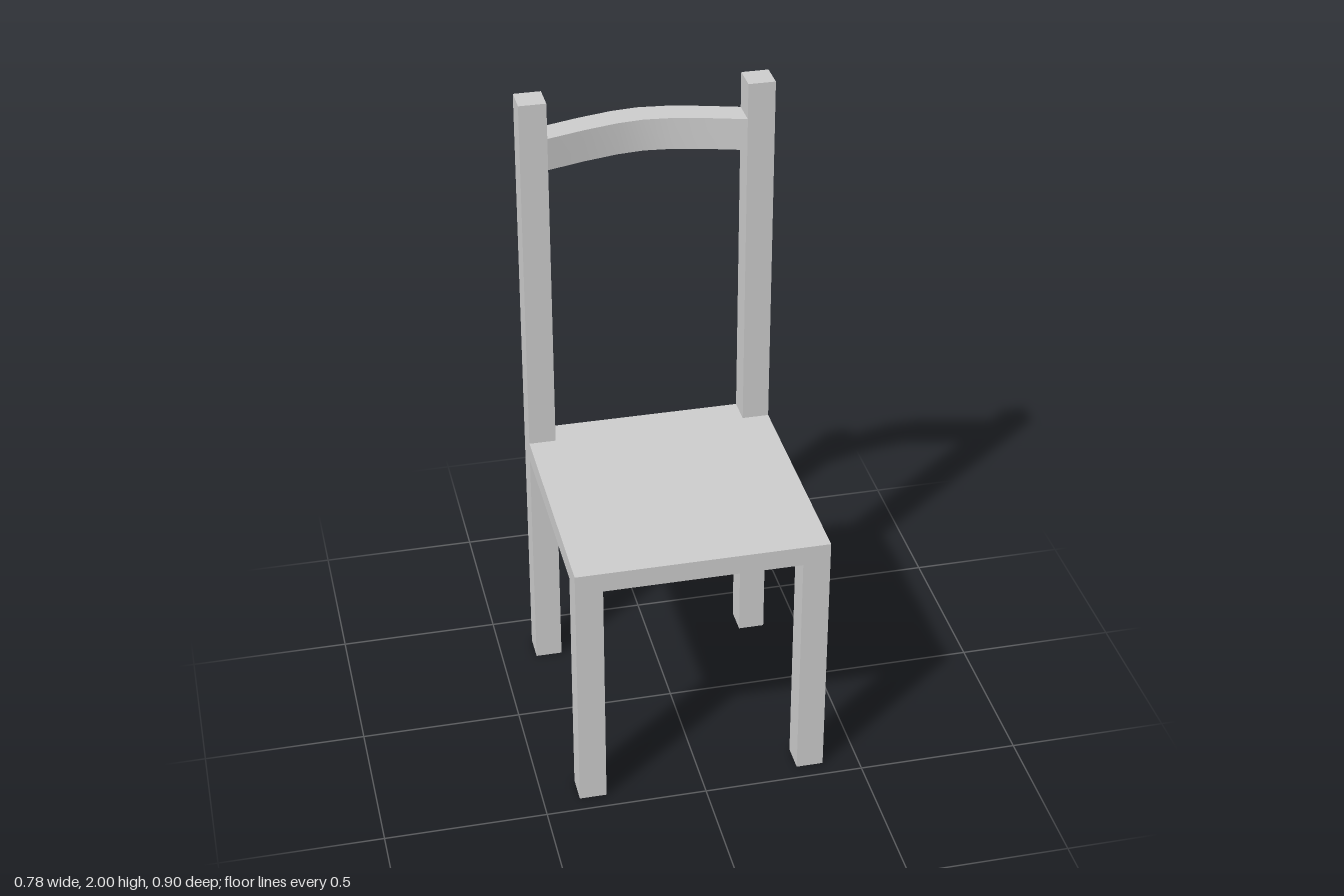
import * as THREE from 'three';
import { toCreasedNormals } from 'three/addons/utils/BufferGeometryUtils.js';

const material = new THREE.MeshStandardMaterial({ color: 0xcccccc });

// Box given by its lower and upper corners
function box(name, [x0, y0, z0], [x1, y1, z1]) {
  const geometry = new THREE.BoxGeometry(x1 - x0, y1 - y0, z1 - z0);
  geometry.translate((x0 + x1) / 2, (y0 + y1) / 2, (z0 + z1) / 2);
  const mesh = new THREE.Mesh(geometry, material);
  mesh.name = name;
  return mesh;
}

// Plan outline of [x, z] points raised from y0 to y1
function slab(name, outline, y0, y1) {
  const shape = new THREE.Shape(outline.map(([x, z]) => new THREE.Vector2(x, -z)));
  const geometry = new THREE.ExtrudeGeometry(shape, { depth: y1 - y0, bevelEnabled: false });
  geometry.rotateX(-Math.PI / 2).translate(0, y0, 0);
  const mesh = new THREE.Mesh(toCreasedNormals(geometry, 0.5), material);
  mesh.name = name;
  return mesh;
}

export function createModel() {
  const chair = new THREE.Group();
  chair.name = 'chair';

  const outer = 0.388, inner = 0.304; // leg sides in x
  const front = 0.449, back = -0.383; // seat ends in z
  const thick = 0.088; // leg and rail depth
  const seatBottom = 0.772, seatTop = 0.835;

  // Legs; the back pair runs up as posts
  for (const [side, x0, x1] of [['Left', inner, outer], ['Right', -outer, -inner]]) {
    chair.add(box('frontLeg' + side, [x0, 0, front - thick], [x1, seatBottom, front]));
    chair.add(box('backPost' + side, [x0, 0, back], [x1, 2, back + thick]));
  }

  // Seat, notched around the back posts
  chair.add(slab('seat', [
    [-outer, front], [outer, front], [outer, back + thick], [inner, back + thick],
    [inner, back], [-inner, back], [-inner, back + thick], [-outer, back + thick],
  ], seatBottom, seatTop));

  // Top rail, bowed backwards between the posts
  const half = [[inner, back], [0.188, -0.417], [0.083, -0.441]];
  const bow = [...half, [0, -front], ...half.map(([x, z]) => [-x, z]).reverse()];
  const inside = bow.map(([x, z]) => [x, z + thick]).reverse();
  chair.add(slab('topRail', [...bow, ...inside], 1.784, 1.886));

  return chair;
}
